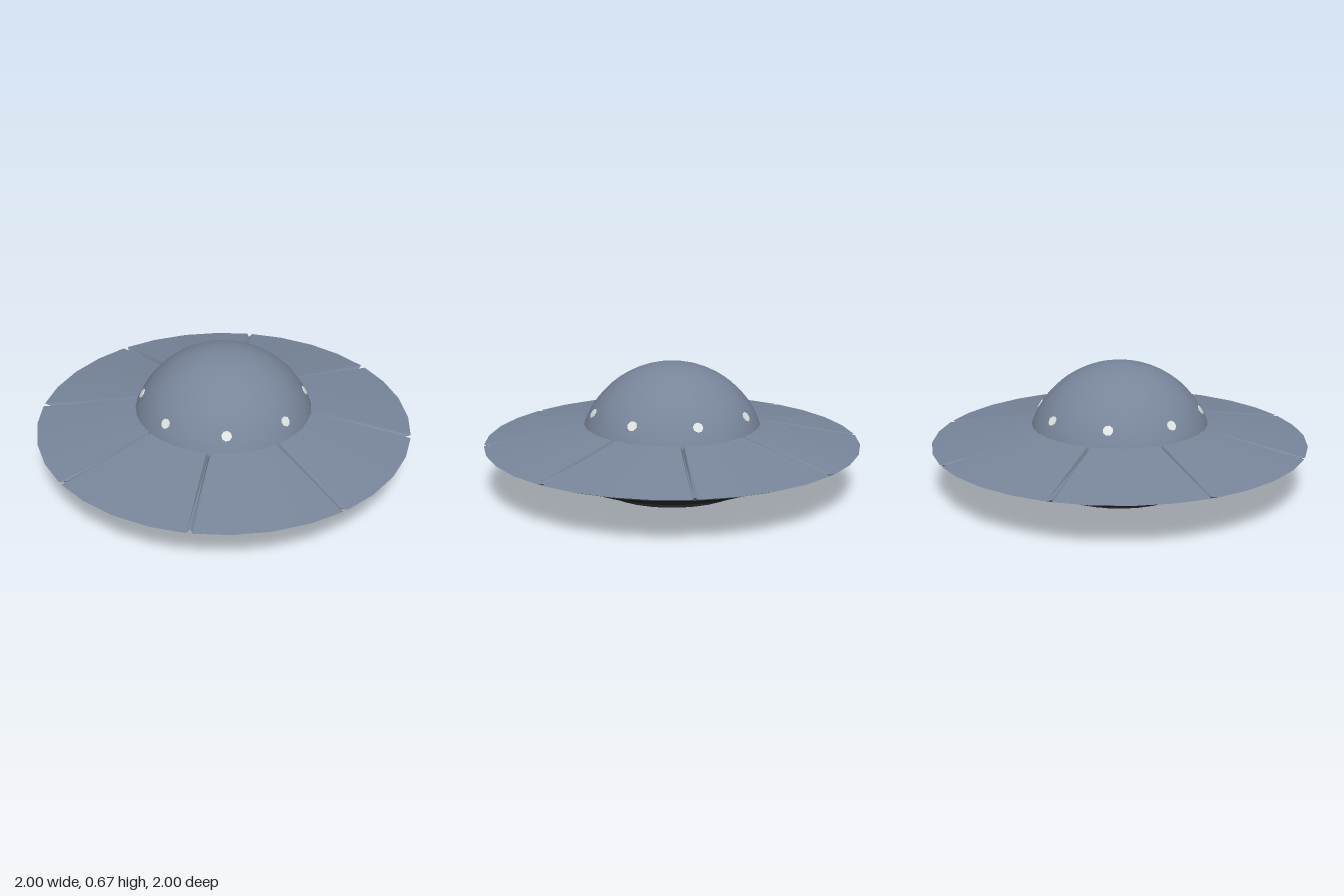
import * as THREE from 'three';
import { mergeGeometries } from 'three/addons/utils/BufferGeometryUtils.js';

const mat = (name, color, side = THREE.FrontSide) => {
  const m = new THREE.MeshStandardMaterial({ color, side });
  m.name = name;
  return m;
};

// Surface swept around y: point(i, j) gives [angle, radius, y]; columns run around, rows along the profile
function sweep(cols, rows, point) {
  const pos = [], index = [];
  for (let i = 0; i < cols; i++) {
    for (let j = 0; j < rows; j++) {
      const [a, r, y] = point(i, j);
      pos.push(r * Math.sin(a), y, r * Math.cos(a));
      if (i < cols - 1 && j < rows - 1) {
        const p = i * rows + j, q = p + rows;
        index.push(p, q, q + 1, p, q + 1, p + 1);
      }
    }
  }
  const g = new THREE.BufferGeometry();
  g.setAttribute('position', new THREE.Float32BufferAttribute(pos, 3));
  g.setIndex(index);
  g.computeVertexNormals();
  return g;
}

// Lathe with a sharp edge at every profile point
function sharpLathe(points, segments) {
  const bands = [];
  for (let i = 0; i < points.length - 1; i++) {
    const pair = [points[i], points[i + 1]].map(([r, y]) => new THREE.Vector2(r, y));
    bands.push(new THREE.LatheGeometry(pair, segments));
  }
  return mergeGeometries(bands);
}

export function createModel() {
  const model = new THREE.Group();
  const hullPaint = mat('slate blue hull', 0x78859a);
  const black = mat('black underbody', 0x292929);
  const teal = mat('teal engine well', 0x47807e);
  const light = mat('pale light', 0xe0e6e2);

  const add = (parent, name, geometry, material) => {
    const mesh = new THREE.Mesh(geometry, material);
    mesh.name = name;
    parent.add(mesh);
    return mesh;
  };

  // Saucer profiles: radius, height, then the same point sunk into the groove
  const lip = [[0.65, 0.165, 0.65, 0.18], [0.66, 0.15, 0.66, 0.172]];
  const under = [
    [0.66, 0.15, 0.66, 0.172], [0.74, 0.163, 0.735, 0.185], [0.84, 0.19, 0.83, 0.206],
    [0.92, 0.219, 0.905, 0.228], [1, 0.25, 0.965, 0.247],
  ];
  const upper = [[1, 0.25, 0.965, 0.248], [0.44, 0.355, 0.44, 0.33]];
  const gap = 0.011, step = Math.PI / 4;
  const halfGap = (r) => (r > 0.99 ? 0.015 : gap) / r;

  const saucer = new THREE.Group();
  saucer.name = 'saucer';
  model.add(saucer);
  for (let k = 0; k < 8; k++) {
    const panels = [], grooves = [];
    for (const profile of [lip, under, upper]) {
      // Panel with four facets around
      panels.push(sweep(5, profile.length, (i, j) => {
        const [r, y] = profile[j];
        const inset = i === 0 ? halfGap(r) : i === 4 ? -halfGap(r) : 0;
        return [(k + i / 4) * step + inset, r, y];
      }));
      // V-shaped groove beside it
      const groove = sweep(3, profile.length, (i, j) => {
        const [r, y, ri, yi] = profile[j];
        return i === 1 ? [k * step, ri, yi] : [k * step + (i - 1) * halfGap(r), r, y];
      }).toNonIndexed();
      groove.computeVertexNormals();
      grooves.push(groove);
    }
    add(saucer, 'saucerPanel', mergeGeometries(panels), hullPaint);
    add(saucer, 'panelGroove', mergeGeometries(grooves), hullPaint);
  }

  // Dome: a spherical cap
  const domeR = 0.502, domeY = 0.173;
  const dome = add(model, 'dome',
    new THREE.SphereGeometry(domeR, 32, 12, 0, Math.PI * 2, 0, 1.24), hullPaint);
  dome.position.y = domeY;

  // Eight round windows lying on the dome
  const tilt = Math.asin((0.43 - domeY) / domeR);
  for (let k = 0; k < 8; k++) {
    const a = Math.PI / 16 + k * step;
    const dir = new THREE.Vector3(
      Math.cos(tilt) * Math.sin(a), Math.sin(tilt), Math.cos(tilt) * Math.cos(a));
    const pane = add(model, 'domeWindow', new THREE.CylinderGeometry(0.027, 0.027, 0.008, 8), light);
    pane.position.copy(dir).multiplyScalar(domeR - 0.001);
    pane.position.y += domeY;
    pane.quaternion.setFromUnitVectors(new THREE.Vector3(0, 1, 0), dir);
  }

  // Stepped underbody with an open well in the middle
  add(model, 'underbody', sharpLathe([
    [0.33, 0], [0.388, 0], [0.408, 0.07], [0.547, 0.07], [0.62, 0.15], [0.658, 0.16],
  ], 32), black);
  add(model, 'engineWell', sharpLathe([[0, 0.12], [0.31, 0.12], [0.33, 0]], 32), teal);
  const lamp = add(model, 'engineLamp', new THREE.CylinderGeometry(0.105, 0.105, 0.008, 24), light);
  lamp.position.y = 0.117;

  return model;
}
